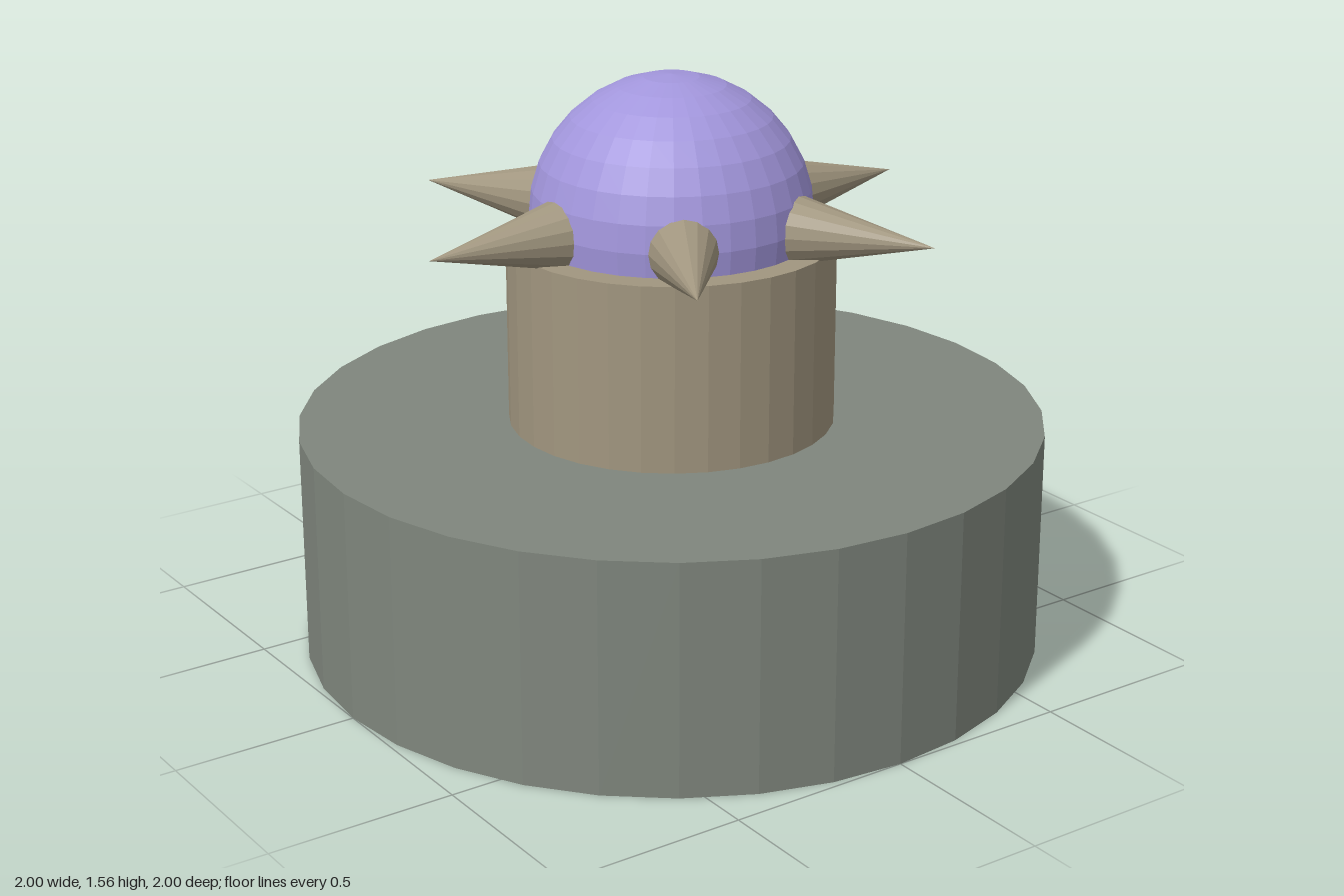
import * as THREE from 'three';

export function createModel() {
  const mat = (name, color) => {
    const m = new THREE.MeshStandardMaterial({ color, flatShading: true });
    m.name = name;
    return m;
  };
  const greyStone = mat('grey stone', 0x7f867d);
  const tanStone = mat('tan stone', 0xa1967f);
  const violet = mat('violet', 0xa296dc);

  const model = new THREE.Group();
  model.name = 'spikedPedestal';
  const add = (name, geometry, material, y) => {
    const mesh = new THREE.Mesh(geometry, material);
    mesh.name = name;
    mesh.position.y = y;
    model.add(mesh);
    return mesh;
  };

  // Wide round base, column and orb sunk into the column top
  add('base', new THREE.CylinderGeometry(1, 1, 0.625, 32), greyStone, 0.3125);
  add('column', new THREE.CylinderGeometry(0.4375, 0.4375, 0.5, 32), tanStone, 0.875);
  add('orb', new THREE.SphereGeometry(0.375, 32, 16), violet, 1.1875);

  // Six spikes pointing outwards around the orb's equator
  const spikeGeometry = new THREE.ConeGeometry(0.12, 0.5, 16);
  spikeGeometry.rotateZ(-Math.PI / 2);
  spikeGeometry.translate(0.485, 0, 0); // tip at 0.735
  for (let i = 0; i < 6; i++) {
    const spike = add('spike' + (i + 1), spikeGeometry, tanStone, 1.1875);
    spike.rotation.y = (i * Math.PI) / 3;
  }

  return model;
}
